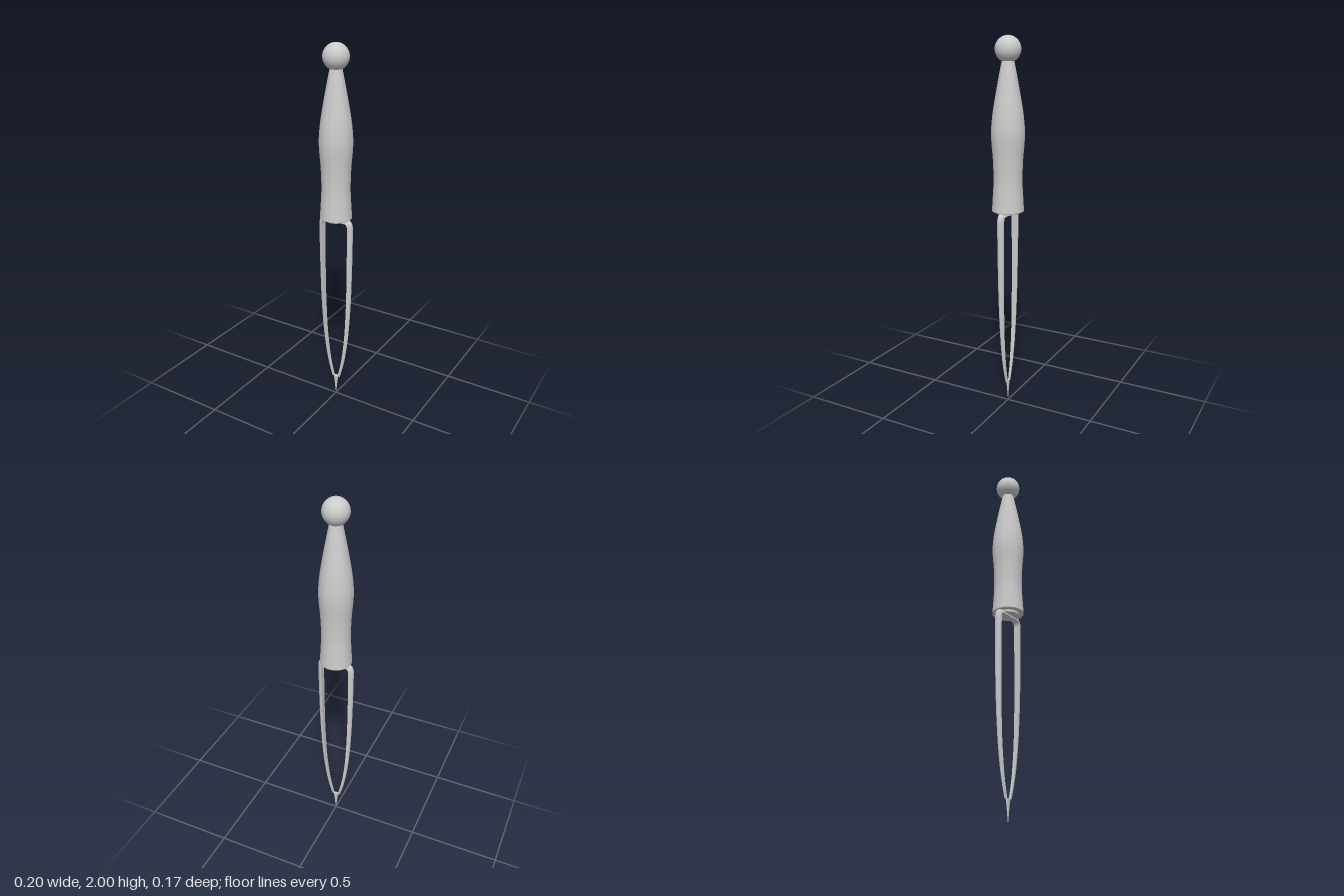
import * as THREE from 'three';
import { toCreasedNormals } from 'three/addons/utils/BufferGeometryUtils.js';

const grey = new THREE.MeshStandardMaterial({ color: 0xcccccc });

function part(name, geometry) {
  const mesh = new THREE.Mesh(geometry, grey);
  mesh.name = name;
  return mesh;
}

// Sweeps a D-shaped section along a path; z of each path point is the half-width
function sweepD(points, steps, sides) {
  const curve = new THREE.CatmullRomCurve3(points, false, 'centripetal');
  const positions = [], index = [], ring = sides + 1;
  for (let i = 0; i <= steps; i++) {
    const p = curve.getPoint(i / steps);
    const t = curve.getTangent(i / steps).setZ(0).normalize();
    const thickness = 0.008 + 0.8 * p.z;
    for (let j = 0; j <= sides; j++) {
      const a = (j / sides - 0.5) * Math.PI;
      const n = thickness * Math.cos(a);
      positions.push(p.x - t.y * n, p.y + t.x * n, p.z * Math.sin(a));
    }
  }
  for (let i = 0; i < steps; i++) {
    for (let j = 0; j < ring; j++) {
      const a = i * ring + j, b = i * ring + (j + 1) % ring;
      index.push(a, b, a + ring, b, b + ring, a + ring);
    }
  }
  const last = steps * ring;
  for (let j = 1; j < sides; j++) {
    index.push(0, j + 1, j, last, last + j, last + j + 1);
  }
  const g = new THREE.BufferGeometry();
  g.setAttribute('position', new THREE.Float32BufferAttribute(positions, 3));
  g.setIndex(index);
  return toCreasedNormals(g, 0.7);
}

export function createModel() {
  const model = new THREE.Group();
  model.name = 'forkedTool';

  // Ball on the end of the handle
  const knob = part('knob', new THREE.SphereGeometry(0.067, 48, 32));
  knob.position.y = 1.933;
  model.add(knob);

  // Turned handle: slim neck, swelling, waist and flared foot
  const profile = new THREE.SplineCurve([
    [0.085, 1.108], [0.081, 1.17], [0.076, 1.27], [0.079, 1.38], [0.086, 1.47],
    [0.087, 1.53], [0.08, 1.61], [0.062, 1.72], [0.043, 1.82], [0.029, 1.89],
  ].map(([r, y]) => new THREE.Vector2(r, y))).getPoints(60);
  const foot = [new THREE.Vector2(0, 1.105), new THREE.Vector2(0.083, 1.105)];
  const handle = new THREE.LatheGeometry([...foot, ...profile], 64);
  model.add(part('handle', toCreasedNormals(handle.toNonIndexed(), 0.6)));

  // Small disc under the handle
  const collar = part('collar', new THREE.CylinderGeometry(0.06, 0.06, 0.016, 48));
  collar.position.y = 1.101;
  model.add(collar);

  // Both prongs and their crossbar, bent from one tapered D-section strip
  const half = [
    [0.06, 1.085, 0.019], [0.071, 1.081, 0.019], [0.077, 1.069, 0.019],
    [0.078, 1.03, 0.019], [0.077, 0.8, 0.017], [0.0725, 0.6, 0.015],
    [0.061, 0.4, 0.012], [0.047, 0.28, 0.01], [0.033, 0.2, 0.008], [0.013, 0.12, 0.006],
  ];
  const path = [
    ...half.map(([x, y, w]) => new THREE.Vector3(-x, y, w)).reverse(),
    new THREE.Vector3(0, 1.085, 0.019),
    ...half.map(([x, y, w]) => new THREE.Vector3(x, y, w)),
  ];
  model.add(part('prongs', sweepD(path, 200, 16)));

  // Flattened point joining the prong ends
  const point = new THREE.LatheGeometry([
    [0, 0], [0.004, 0.03], [0.009, 0.075], [0.016, 0.122], [0, 0.125],
  ].map(([r, y]) => new THREE.Vector2(r, y)), 24);
  const tip = part('tip', toCreasedNormals(point.toNonIndexed(), 0.6));
  tip.scale.z = 0.5;
  model.add(tip);

  return model;
}
